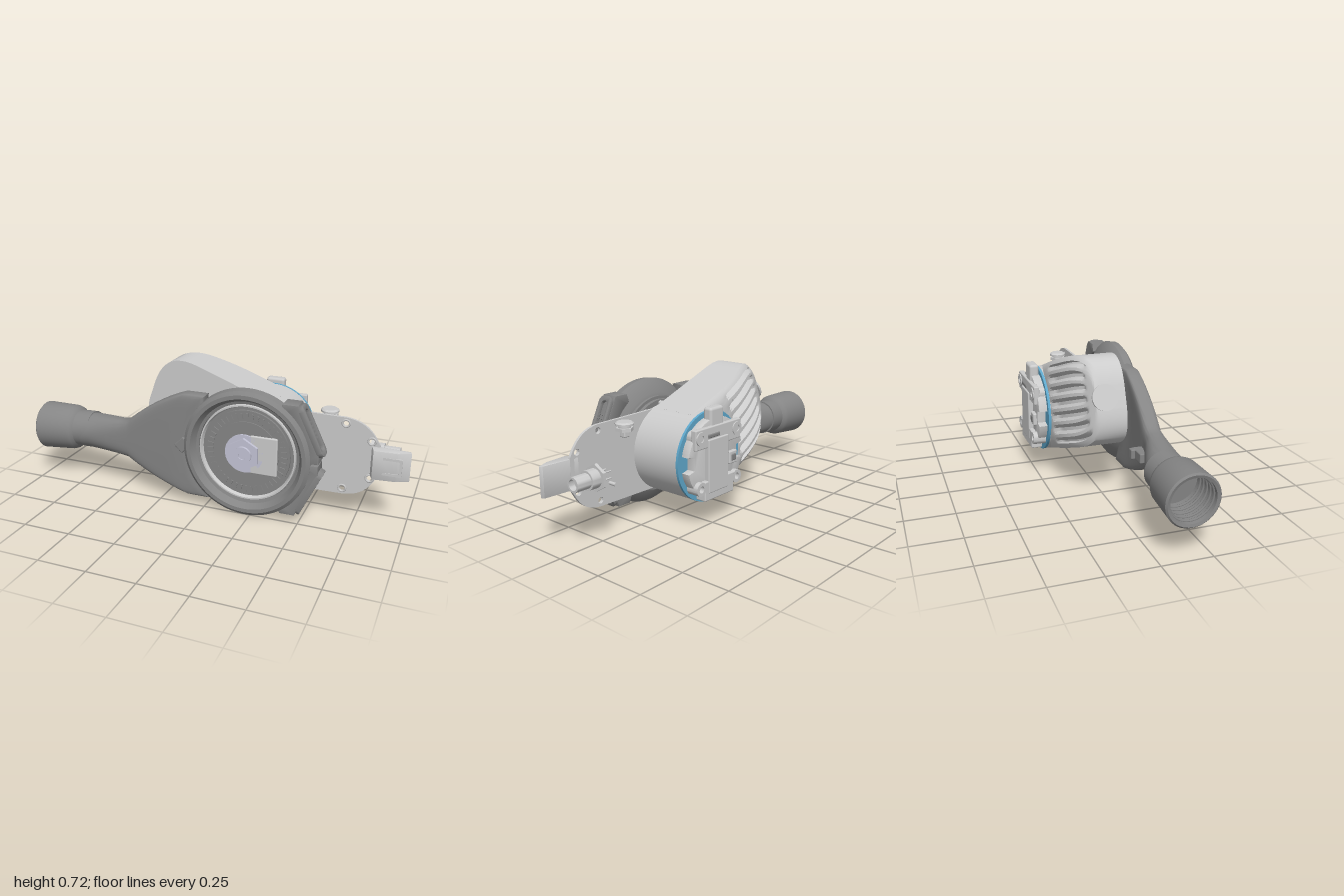
import * as THREE from 'three';
import { toCreasedNormals } from 'three/addons/utils/BufferGeometryUtils.js';
import { RoundedBoxGeometry } from 'three/addons/geometries/RoundedBoxGeometry.js';

const mat = (color) => new THREE.MeshStandardMaterial({ color, side: THREE.DoubleSide });
const grey = mat(0xcccccc), dark = mat(0x858585), blue = mat(0x5fa8cc), steel = mat(0xc4c4d6);
const CX = 0.225, CY = 0.337; // main axis
const lerp = THREE.MathUtils.lerp;

export function createModel() {
  const model = new THREE.Group();

  const add = (name, geo, material = grey, x = 0, y = 0, z = 0, parent = model) => {
    const m = new THREE.Mesh(geo, material);
    m.name = name;
    m.position.set(x, y, z);
    parent.add(m);
    return m;
  };
  const group = (name, x = 0, y = 0, z = 0, parent = model) => {
    const g = new THREE.Group();
    g.name = name;
    g.position.set(x, y, z);
    parent.add(g);
    return g;
  };
  // [radius, z] profile turned about the z axis
  const turned = (pts, seg = 64) => toCreasedNormals(
    new THREE.LatheGeometry(pts.map((p) => new THREE.Vector2(p[0], p[1])), seg).rotateX(Math.PI / 2), 0.5);
  const disc = (r, z0, z1, seg = 64) => turned([[0, z0], [r, z0], [r, z1], [0, z1]], seg);
  const box = (w, h, d, r = 0.006) => new RoundedBoxGeometry(w, h, d, 2, r);
  const extrude = (shape, depth, bevel = 0) => toCreasedNormals(new THREE.ExtrudeGeometry(shape, {
    depth, curveSegments: 20, bevelEnabled: bevel > 0, bevelSize: bevel, bevelThickness: bevel, bevelSegments: 2,
  }), 0.5);
  const poly = (pts) => new THREE.Shape(pts.map((p) => new THREE.Vector2(p[0], p[1])));
  const slot = (w, h, r, Kind = THREE.Shape) => {
    const s = new Kind();
    s.absarc(w / 2 - r, h / 2 - r, r, 0, Math.PI / 2);
    s.absarc(r - w / 2, h / 2 - r, r, Math.PI / 2, Math.PI);
    s.absarc(r - w / 2, r - h / 2, r, Math.PI, Math.PI * 1.5);
    s.absarc(w / 2 - r, r - h / 2, r, Math.PI * 1.5, Math.PI * 2);
    s.closePath();
    return s;
  };
  // skin over closed rings, capped at both ends
  const loft = (rings, crease) => {
    const n = rings[0].length, pos = rings.flat(2), idx = [];
    for (let i = 0; i < rings.length - 1; i++) for (let j = 0; j < n; j++) {
      const k = (j + 1) % n, a = i * n + j, d = i * n + k;
      idx.push(a, d, a + n, a + n, d, d + n);
    }
    [0, rings.length - 1].forEach((i) => {
      const c = pos.length / 3, o = i * n;
      for (let k = 0; k < 3; k++) pos.push(rings[i].reduce((s, p) => s + p[k], 0) / n);
      for (let j = 0; j < n; j++) {
        const k = (j + 1) % n;
        idx.push(c, ...(i ? [o + j, o + k] : [o + k, o + j]));
      }
    });
    const g = new THREE.BufferGeometry();
    g.setAttribute('position', new THREE.Float32BufferAttribute(pos, 3));
    g.setIndex(idx);
    return toCreasedNormals(g, crease);
  };

  // motor drum, blue seal and neck
  const motor = group('motor', CX, CY);
  add('motorDrum', disc(0.229, -0.195, 0.085), grey, 0, 0, 0, motor);
  add('sealRing', disc(0.23, -0.208, -0.195), blue, 0, 0, 0, motor);
  add('neck', disc(0.21, 0.085, 0.13), grey, 0, 0, 0, motor);
  for (let i = 0; i < 12; i++) {
    const a = (i / 12) * Math.PI * 2;
    add('neckBolt', disc(0.014, 0.085, 0.125, 12), grey, 0.217 * Math.cos(a), 0.217 * Math.sin(a), 0, motor);
  }

  // ribbed housing reaching up and sideways from the drum
  const housing = group('ribbedHousing', CX, CY);
  housing.rotation.z = Math.PI - Math.atan2(0.213, 0.57);
  const rings = [];
  for (let i = 0; i <= 36; i++) {
    const u = 0.624 * Math.sin((i / 36) * Math.PI / 2);
    const e = Math.max(0, (u - 0.4) / 0.225);
    const hw = 0.229 * Math.cbrt(1 - e ** 3);
    const back = -0.195 + 0.12 * Math.max(0, (u - 0.2) / 0.42) ** 2;
    const fade = THREE.MathUtils.smoothstep(u, 0.23, 0.28) * (1 - THREE.MathUtils.smoothstep(u, 0.53, 0.58));
    const ring = [[u, hw, 0.08], [u, -hw, 0.08]];
    for (let j = 0; j <= 56; j++) {
      const s = (j / 56) * 2 - 1;
      const groove = j > 3 && j < 53 && j % 8 >= 2 && j % 8 <= 6 ? 0.028 * (j % 8 === 2 || j % 8 === 6 ? 0.4 : 1) : 0;
      ring.push([u, s * hw, back + groove * fade + 0.03 * s ** 8]);
    }
    rings.push(ring);
  }
  add('housingShell', loft(rings, 0.6), grey, 0, 0, 0, housing);
  const plug = add('housingPlug', disc(0.065, 0, 0.012, 40), grey, 0.616, 0, -0.025, housing);
  plug.rotation.y = Math.PI / 2;

  // rear cap with cover panel, screw bosses, ports and latch
  const cap = group('rearCap', CX, CY);
  const capShape = new THREE.Shape();
  for (let q = 0; q < 4; q++) {
    const a = q * Math.PI / 2;
    capShape.absarc(0, 0, 0.2, a + 0.22, a + Math.PI / 2 - 0.22);
    capShape.lineTo(0.16 * Math.cos(a + Math.PI / 2 - 0.22), 0.16 * Math.sin(a + Math.PI / 2 - 0.22));
    capShape.lineTo(0.16 * Math.cos(a + Math.PI / 2 + 0.22), 0.16 * Math.sin(a + Math.PI / 2 + 0.22));
  }
  add('capBase', extrude(capShape, 0.04, 0.004), grey, 0, 0, -0.248, cap);
  add('coverPanel', box(0.15, 0.27, 0.04), grey, 0.01, -0.025, -0.258, cap);
  add('capBand', box(0.34, 0.1, 0.03), grey, 0, 0.12, -0.255, cap);
  add('capFoot', box(0.22, 0.1, 0.06), grey, 0, -0.145, -0.246, cap);
  add('capLatch', box(0.1, 0.1, 0.05, 0.014), grey, 0, 0.205, -0.235, cap);
  add('slotPort', box(0.09, 0.02, 0.02), dark, 0.04, 0.125, -0.265, cap);
  add('squarePort', box(0.06, 0.065, 0.025), grey, -0.113, -0.02, -0.258, cap);
  add('squarePortOpening', box(0.035, 0.035, 0.02), dark, -0.113, -0.02, -0.265, cap);
  for (const sx of [-1, 1]) for (const sy of [-1, 1]) {
    add('screwBoss', turned([[0.017, -0.25], [0.017, -0.276], [0.034, -0.276], [0.034, -0.21]].reverse(), 24),
      grey, sx * 0.135, sy * 0.125, 0, cap);
  }

  // round guard with dished front
  const guard = group('guard', CX, CY);
  add('guardRing', turned([[0, 0.12], [0.235, 0.12], [0.235, 0.14], [0.25, 0.14], [0.25, 0.155], [0.265, 0.16],
    [0.318, 0.2], [0.333, 0.22], [0.328, 0.26], [0.31, 0.275], [0.29, 0.275], [0.27, 0.24], [0.255, 0.235],
    [0.255, 0.222], [0, 0.222]], 96), dark, 0, 0, 0, guard);
  add('guardLip', turned([[0.235, 0.22], [0.243, 0.24], [0.25, 0.24], [0.253, 0.22]].reverse(), 96), grey, 0, 0, 0, guard);
  add('frontDisc', disc(0.222, 0.22, 0.234), dark, 0, 0, 0, guard);
  add('innerDisc', disc(0.165, 0.23, 0.24), dark, 0, 0, 0, guard);
  for (let i = 0; i < 44; i++) {
    const a = (i / 44) * Math.PI * 2;
    const t = add('discTooth', new THREE.BoxGeometry(0.03, 0.01, 0.012), dark, 0.193 * Math.cos(a), 0.193 * Math.sin(a), 0.234, guard);
    t.rotation.z = a;
  }
  add('hubPlate', box(0.14, 0.2, 0.02), grey, 0.09, 0, 0.24, guard);
  add('hubWasher', disc(0.1, 0.235, 0.25, 40), steel, -0.01, 0, 0, guard);
  add('hubNut', disc(0.085, 0.245, 0.265, 6), steel, -0.01, 0, 0, guard);
  add('hubCollar', turned([[0.02, 0.25], [0.045, 0.25], [0.045, 0.278], [0.02, 0.278], [0.02, 0.25]], 32), steel, -0.01, 0, 0, guard);
  add('hubBolt', disc(0.024, 0.25, 0.272, 6), steel, -0.01, 0, 0, guard);

  // two angular vents beside the guard, mirrored up and down
  for (const s of [1, -1]) {
    const wing = group('ventWing', CX, CY, 0, guard.parent);
    wing.scale.y = s;
    const shape = poly([[0.185, 0.283], [0.255, 0.283], [0.362, 0.05], [0.362, 0.008], [0.3, 0.008]]);
    shape.absarc(0, 0, 0.3, 0.03, 0.96, false);
    add('wingBody', extrude(shape, 0.08, 0.004), dark, 0, 0, 0.175, wing);
    const face = group('ventFace', 0.319, 0.159, 0.217, wing);
    face.rotation.set(Math.PI / 2, Math.atan2(0.9, -0.43) - Math.PI / 2 + Math.PI / 2, 0);
    face.quaternion.setFromRotationMatrix(new THREE.Matrix4().makeBasis(
      new THREE.Vector3(-0.432, 0.902, 0), new THREE.Vector3(0, 0, 1), new THREE.Vector3(0.902, 0.432, 0)));
    const frame = slot(0.265, 0.08, 0.03);
    frame.holes.push(slot(0.225, 0.05, 0.024, THREE.Path));
    add('ventFrame', extrude(frame, 0.022, 0.003), dark, 0, 0, -0.008, face);
    for (let i = 0; i < 5; i++) add('ventRib', new THREE.BoxGeometry(0.005, 0.05, 0.02), dark, (i - 2) * 0.02, 0, 0, face);
  }

  // dust arm: round pipe flattening into a fan that hugs the guard
  const pipe = [ // x, centre y, centre z, half height, half depth, squareness
    [-0.74, 0.292, 0.146, 0.096, 0.093, 2], [-0.69, 0.294, 0.148, 0.096, 0.092, 2],
    [-0.64, 0.296, 0.155, 0.096, 0.084, 2.2], [-0.57, 0.298, 0.168, 0.098, 0.07, 2.5],
    [-0.5, 0.3, 0.182, 0.1, 0.055, 3], [-0.45, 0.302, 0.19, 0.105, 0.048, 3.5]];
  const sections = [...pipe];
  for (let i = 1; i <= 12; i++) {
    const t = i / 12, w = Math.min(t / 0.74, 1);
    sections.push([-0.45, lerp(0.302, 0.33, w), lerp(0.19, 0.21, w), lerp(0.105, 0.276, w), lerp(0.048, 0.04, w), lerp(3.5, 9, w), t]);
  }
  add('dustArm', loft(sections.map(([x, cy, cz, hy, hz, n, t = 0]) => {
    const ring = [];
    for (let j = 0; j < 48; j++) {
      const a = (j / 48) * Math.PI * 2, c = Math.cos(a), s = Math.sin(a);
      const y = cy + hy * Math.sign(c) * Math.abs(c) ** (2 / n);
      const z = cz + hz * Math.sign(s) * Math.abs(s) ** (2 / n);
      const end = CX - Math.sqrt(Math.max(0, 0.348 ** 2 - (y - CY) ** 2));
      ring.push([lerp(x, end, t), y, z]);
    }
    return ring;
  }), 0.7), dark);
  add('armClip', box(0.1, 0.05, 0.05), dark, -0.46, 0.28, 0.125);
  add('armClipTab', box(0.035, 0.05, 0.05), dark, -0.43, 0.28, 0.105);
  add('guardLatch', box(0.07, 0.06, 0.05), dark, -0.115, 0.335, 0.235).rotation.z = Math.PI / 4;

  // hose socket with inner thread
  const socket = group('hoseSocket', -1, 0.283, 0.141);
  socket.rotation.set(0, Math.PI / 2, 0.045, 'ZYX');
  add('socketShell', turned([[0, 0.19], [0.108, 0.19], [0.108, 0.004], [0.122, 0], [0.13, 0.008], [0.122, 0.185],
    [0.115, 0.205], [0.099, 0.22], [0.098, 0.31], [0.09, 0.31]], 48), dark, 0, 0, 0, socket);
  for (let i = 0; i < 5; i++) add('socketThread', new THREE.TorusGeometry(0.107, 0.007, 6, 40), dark, 0, 0, 0.03 + i * 0.032, socket);

  // side plate with screw holes and end catch
  const plate = poly([[0.3, 0.545], [0.3, 0.13]]);
  plate.lineTo(0.68, 0.135);
  plate.bezierCurveTo(0.77, 0.14, 0.81, 0.18, 0.85, 0.26);
  plate.lineTo(0.85, 0.414);
  plate.bezierCurveTo(0.81, 0.49, 0.77, 0.53, 0.68, 0.539);
  for (const [x, dy] of [[0.68, 0.172], [0.81, 0.097]]) for (const s of [1, -1]) {
    plate.holes.push(new THREE.Path().absarc(x, CY + s * dy, 0.016, 0, Math.PI * 2));
    add('holeRim', new THREE.TorusGeometry(0.018, 0.005, 6, 20), grey, x, CY + s * dy, 0.097);
  }
  add('sidePlate', extrude(plate, 0.014), grey, 0, 0, 0.083);
  add('platePin', disc(0.009, 0.04, 0.09, 16), grey, 0.62, 0.237, 0);
  const wedge = poly([[0.81, -0.085], [0.83, -0.143], [0.94, -0.133], [0.995, -0.108], [0.99, -0.098]]);
  add('endCatch', extrude(wedge, 0.142, 0.004).rotateX(-Math.PI / 2), grey, 0, 0.264, 0);
  const rim = slot(0.11, 0.09, 0.008);
  rim.holes.push(slot(0.085, 0.065, 0.006, THREE.Path));
  add('catchWindow', extrude(rim, 0.01), grey, 0.91, 0.335, 0.133);

  // push button standing behind the plate
  const button = group('pushButton', 0.58, 0.475, 0.01);
  button.rotation.x = -Math.PI / 2;
  add('buttonStem', box(0.035, 0.035, 0.04), grey, 0, 0, 0.015, button);
  add('buttonNut', disc(0.043, 0.026, 0.042, 6), grey, 0, 0, 0, button);
  add('buttonThread', disc(0.03, 0.03, 0.055, 24), grey, 0, 0, 0, button);
  add('buttonCap', turned([[0, 0.054], [0.045, 0.054], [0.045, 0.063], [0.036, 0.07], [0, 0.07]], 32), grey, 0, 0, 0, button);

  // cable connector with contact pins
  const connector = group('cableConnector', 0.79, 0.335, -0.028);
  connector.rotation.y = Math.PI / 2;
  add('connectorNut', disc(0.066, 0, 0.016, 6), grey, 0, 0, 0, connector);
  add('connectorBody', disc(0.046, 0.016, 0.065, 32), grey, 0, 0, 0, connector);
  add('connectorSleeve', turned([[0, 0.11], [0.026, 0.11], [0.026, 0.142], [0.036, 0.142], [0.036, 0.06]].reverse(), 32),
    grey, 0, 0, 0, connector).scale.z = 1;
  for (let i = 0; i < 4; i++) {
    const a = (i + 0.5) * Math.PI / 2;
    add('connectorPin', disc(0.004, -0.065, 0, 8), grey, 0.024 * Math.cos(a), 0.024 * Math.sin(a), 0, connector);
  }
  return model;
}
